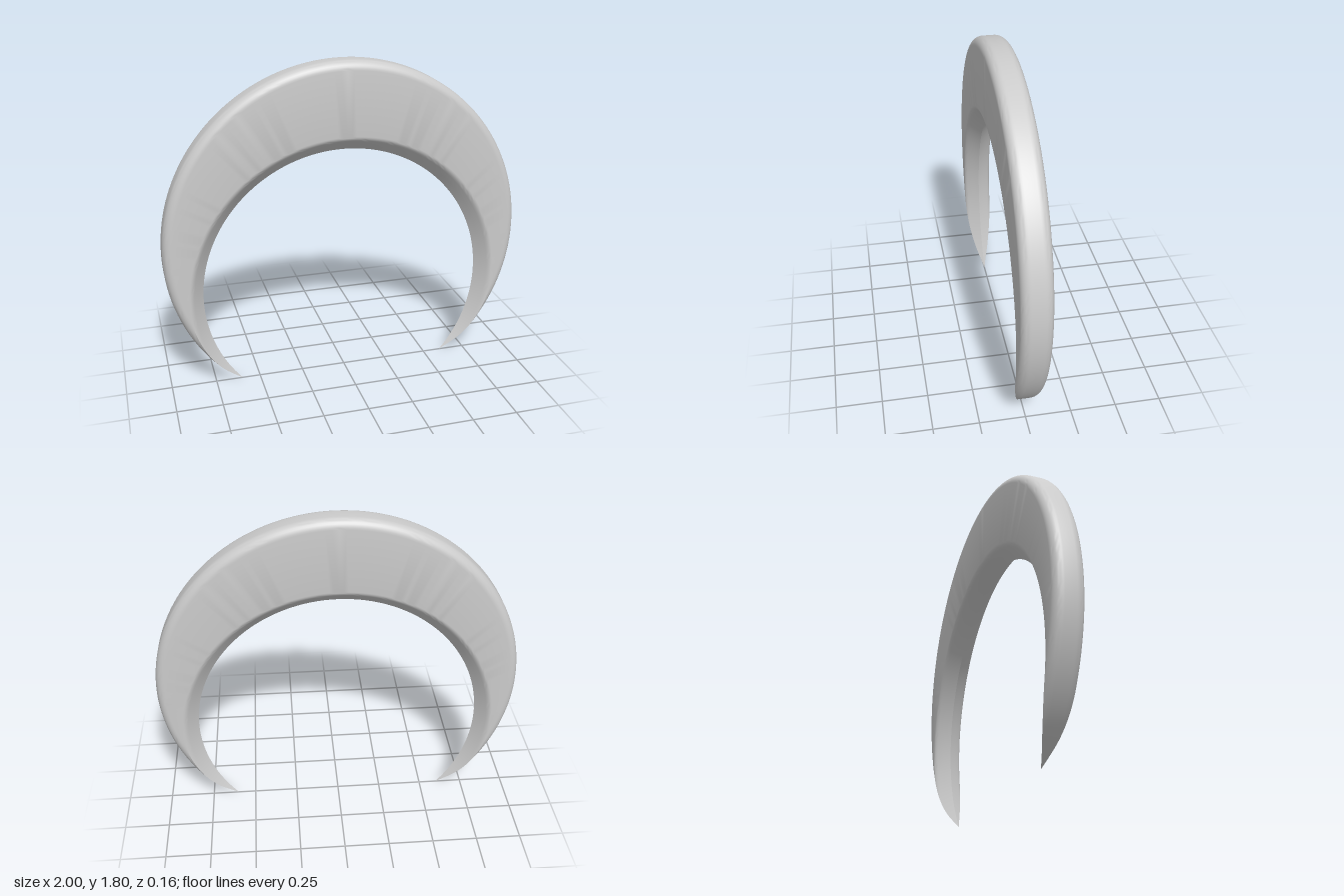
import * as THREE from 'three';
import { toCreasedNormals } from 'three/addons/utils/BufferGeometryUtils.js';

const H = 0.081;              // half thickness
const OUTER_Y = 0.8;          // centre of the outer circle, radius 1
const INNER_Y = 0.52;         // centre of the inner circle
const TIP_X = 0.6;            // the circles meet at (+-0.6, 0)
const INNER_R = Math.hypot(TIP_X, INNER_Y);
const ROUND = 0.05;           // rounding of the outer rim
const BEVEL = 0.085, SOFT = 0.055; // bevel width, and where it starts to flatten

// Half thickness at distance d from the sharp inner edge
function bevelHeight(d) {
  const k = H / ((BEVEL + SOFT) / 2);
  if (d <= SOFT) return k * d;
  if (d >= BEVEL) return H;
  return H - (k * (BEVEL - d) ** 2) / (2 * (BEVEL - SOFT));
}

// Half thickness at distance u from the outer rim
function rimHeight(u) {
  if (u >= ROUND) return H;
  return H - ROUND + Math.sqrt(ROUND ** 2 - (ROUND - u) ** 2);
}

// Half of the cross-section for a blade of width w: [distance, height] pairs
function halfSection(w) {
  let bevelEnd = BEVEL, rimStart = w - ROUND;
  if (rimStart < bevelEnd) {
    // Near the tips the bevel and the rounded rim meet in a ridge
    let lo = 0, hi = w;
    for (let i = 0; i < 40; i++) {
      const mid = (lo + hi) / 2;
      if (bevelHeight(mid) < rimHeight(w - mid)) lo = mid; else hi = mid;
    }
    bevelEnd = rimStart = lo;
  }
  const points = [];
  for (const f of [0, 0.35, 0.65, 0.74, 0.83, 0.92, 1]) {
    points.push([f * bevelEnd, bevelHeight(f * bevelEnd)]);
  }
  const maxAngle = Math.acos(1 - Math.min(1, (w - rimStart) / ROUND));
  const steps = 8;
  for (let i = steps; i >= 0; i--) {
    const u = ROUND * (1 - Math.cos((maxAngle * i) / steps));
    points.push([w - u, Math.min(rimHeight(u), bevelHeight(w - u))]);
  }
  points.push([w, 0]);
  return points;
}

// Crescent lofted from closed cross-sections, tip to tip
function crescentGeometry() {
  const segments = 160;
  const start = Math.atan2(-INNER_Y, TIP_X);
  const offset = OUTER_Y - INNER_Y;
  const positions = [], indices = [];
  let n = 0;
  for (let j = 0; j <= segments; j++) {
    const a = start + ((Math.PI - 2 * start) * j) / segments;
    const c = Math.cos(a), s = Math.sin(a);
    const outerR = offset * s + Math.sqrt(1 - (offset * c) ** 2);
    const half = halfSection(Math.max(outerR - INNER_R, 1e-5));
    const back = half.slice(1, -1).reverse().map(([d, z]) => [d, -z]);
    const ring = [...half, ...back];
    n = ring.length;
    for (const [d, z] of ring) {
      positions.push((INNER_R + d) * c, INNER_Y + (INNER_R + d) * s, z);
    }
  }
  for (let j = 0; j < segments; j++) {
    for (let i = 0; i < n; i++) {
      const a = j * n + i, b = j * n + ((i + 1) % n);
      indices.push(a, b, b + n, a, b + n, a + n);
    }
  }
  const geometry = new THREE.BufferGeometry();
  geometry.setAttribute('position', new THREE.Float32BufferAttribute(positions, 3));
  geometry.setIndex(indices);
  return toCreasedNormals(geometry, 0.6);
}

export function createModel() {
  const group = new THREE.Group();
  group.name = 'crescent';
  const blade = new THREE.Mesh(
    crescentGeometry(),
    new THREE.MeshStandardMaterial({ color: 0xcccccc })
  );
  blade.name = 'crescentBlade';
  group.add(blade);
  return group;
}
